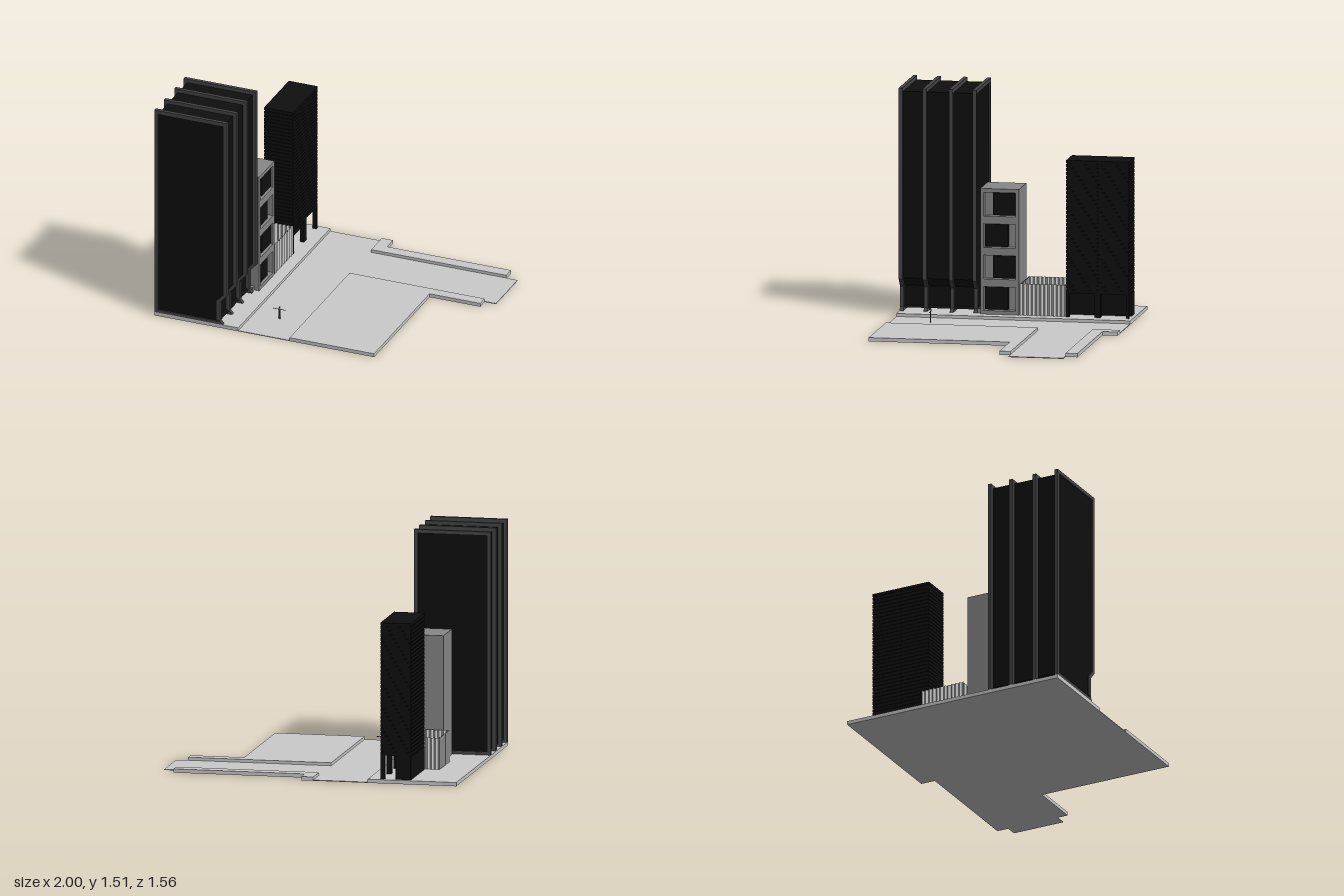
import * as THREE from 'three';

const material = (color) => new THREE.MeshStandardMaterial({ color, flatShading: true, side: THREE.DoubleSide });
const pale = material(0xcccccc), grey = material(0x888888), dark = material(0x464646), black = material(0x0f0f0f);

function add(parent, name, geometry, mat) {
  const mesh = new THREE.Mesh(geometry, mat);
  mesh.name = name;
  parent.add(mesh);
  return mesh;
}

// Box given by its two extreme corners
function box(parent, name, mat, [x0, y0, z0], [x1, y1, z1]) {
  const mesh = add(parent, name, new THREE.BoxGeometry(x1 - x0, y1 - y0, z1 - z0), mat);
  mesh.position.set((x0 + x1) / 2, (y0 + y1) / 2, (z0 + z1) / 2);
  return mesh;
}

const polygon = (points) => new THREE.Shape(points.map(([x, y]) => new THREE.Vector2(x, y)));
const extrude = (shape, depth) => new THREE.ExtrudeGeometry(shape, { depth, bevelEnabled: false });

function group(parent, name) {
  const g = new THREE.Group();
  g.name = name;
  parent.add(g);
  return g;
}

const BASE = 0.025; // pavement level

// Flat slab from a plan outline in (x, z)
function slab(parent, name, outline, height) {
  const geometry = extrude(polygon(outline.map(([x, z]) => [x, -z])), height);
  add(parent, name, geometry.rotateX(-Math.PI / 2), pale);
}

function buildGround(root) {
  const g = group(root, 'ground');
  slab(g, 'road', [[-1, 0.78], [0.55, 0.78], [0.55, -0.235], [1, -0.235], [1, -0.6], [0.03, -0.6], [0.03, -0.78], [-1, -0.78]], 0.005);
  slab(g, 'buildingPavement', [[-1, 0.78], [-0.405, 0.78], [-0.405, -0.78], [-1, -0.78]], BASE);
  slab(g, 'cornerPavement', [[-0.04, 0.78], [0.56, 0.78], [0.56, -0.16], [0.92, -0.16], [0.92, -0.235], [-0.04, -0.235]], BASE);
  slab(g, 'farPavement', [[-0.04, -0.6], [0.92, -0.6], [0.92, -0.68], [0.04, -0.68], [0.04, -0.78], [-0.04, -0.78]], BASE);
}

// Tall dark block ringed by four upright frames with a notch at street level
function buildFramedTower(root) {
  const g = group(root, 'framedTower');
  const outer = [[-1, BASE], [-0.515, BASE], [-0.535, 0.05], [-0.535, 0.185], [-0.485, 0.24], [-0.485, 1.51], [-1, 1.51]];
  const inner = [[-0.975, 0.045], [-0.54, 0.045], [-0.56, 0.06], [-0.56, 0.19], [-0.51, 0.245], [-0.51, 1.485], [-0.975, 1.485]];
  const ring = polygon(outer);
  ring.holes.push(polygon(inner));
  for (const z of [0.262, 0.42, 0.595, 0.755]) add(g, 'towerFrame', extrude(ring, 0.025), dark).position.z = z;
  add(g, 'towerBody', extrude(polygon(inner), 0.5), black).position.z = 0.272;
}

// Narrow grey block whose street face has alternating recessed windows
function buildWindowBlock(root) {
  const g = group(root, 'windowBlock');
  const z0 = -0.022, z1 = 0.235, depth = 0.05, front = -0.485;
  const face = polygon([[-z1, BASE], [-z0, BASE], [-z0, 0.86], [-z1, 0.86]]);
  for (let i = 0; i < 4; i++) {
    const y = 0.05 + i * 0.209, h = 0.158;
    face.holes.push(polygon([[-0.213, y], [0, y], [0, y + h], [-0.213, y + h]]));
    const z = i % 2 ? 0.003 : 0.055;
    box(g, 'window', black, [front - depth, y + 0.006, z], [front - 0.015, y + h - 0.004, z + 0.152]);
  }
  add(g, 'windowWall', extrude(face, depth).rotateY(Math.PI / 2), grey).position.x = front - depth;
  box(g, 'blockBody', grey, [-0.745, BASE, z0], [front - depth, 0.86, z1]);
  box(g, 'sideStep', grey, [-0.545, BASE, z1], [-0.52, 0.055, 0.262]);
}

// Open enclosure with a folded wall
function buildPleatedScreen(root) {
  const centre = [-0.638, -0.183], half = 0.153, teeth = 11, fold = 0.012;
  const positions = [], index = [];
  for (let side = 0; side < 4; side++) {
    const a = (side * Math.PI) / 2;
    for (let i = 0; i < teeth * 2; i++) {
      const t = -half + (i * half) / teeth;
      const r = i % 2 ? half - fold : half;
      const x = centre[0] + r * Math.cos(a) - t * Math.sin(a);
      const z = centre[1] + r * Math.sin(a) + t * Math.cos(a);
      positions.push(x, BASE, z, x, 0.235, z);
    }
  }
  const n = positions.length / 6;
  for (let i = 0; i < n; i++) {
    const a = 2 * i, b = 2 * ((i + 1) % n);
    index.push(a, a + 1, b, b, a + 1, b + 1);
  }
  const geometry = new THREE.BufferGeometry();
  geometry.setAttribute('position', new THREE.Float32BufferAttribute(positions, 3));
  geometry.setIndex(index);
  geometry.computeVertexNormals();
  add(root, 'pleatedScreen', geometry, pale);
}

// Layered black tower standing partly on legs over an open street corner
function buildLayeredTower(root) {
  const g = group(root, 'layeredTower');
  const x0 = -0.69, x1 = -0.485, floor = 0.18, top = 1.065, layers = 34, groove = 0.004;
  const pitch = (top - floor) / layers;
  for (const [z0, z1] of [[-0.755, -0.546], [-0.546, -0.337]]) {
    box(g, 'towerCore', black, [x0 + groove, floor, z0 + groove], [x1 - groove, top - 0.002, z1 - groove]);
    for (let i = 0; i < layers; i++) {
      const y = floor + i * pitch;
      box(g, 'towerLayer', black, [x0, y + pitch * 0.25, z0], [x1, y + pitch, z1]);
    }
  }
  box(g, 'groundFloor', black, [x0, BASE, -0.755], [-0.585, floor, -0.337]);
  for (const [z, w] of [[-0.745, 0.01], [-0.546, 0.02], [-0.347, 0.01]]) {
    box(g, 'towerLeg', black, [x1 - 0.03, BASE, z - w], [x1, floor + 0.01, z + w]);
  }
}

// Small figure with outstretched arms, for scale
function buildFigure(root) {
  const g = group(root, 'figure');
  g.position.set(-0.222, 0.005, 0.517);
  const limb = (name, from, to, r) => {
    const path = new THREE.LineCurve3(new THREE.Vector3(...from), new THREE.Vector3(...to));
    add(g, name, new THREE.TubeGeometry(path, 1, r, 6), dark);
  };
  for (const s of [-1, 1]) {
    limb('leg', [s * 0.004, 0, 0], [s * 0.003, 0.045, 0], 0.0025);
    limb('arm', [s * 0.006, 0.07, 0], [s * 0.045, 0.07, 0], 0.002);
  }
  const torso = add(g, 'torso', new THREE.CylinderGeometry(0.009, 0.006, 0.032, 8), dark);
  torso.position.y = 0.058;
  torso.scale.z = 0.5;
  add(g, 'head', new THREE.SphereGeometry(0.006, 8, 6), dark).position.y = 0.085;
}

export function createModel() {
  const root = new THREE.Group();
  root.name = 'streetCorner';
  buildGround(root);
  buildFramedTower(root);
  buildWindowBlock(root);
  buildPleatedScreen(root);
  buildLayeredTower(root);
  buildFigure(root);
  return root;
}
